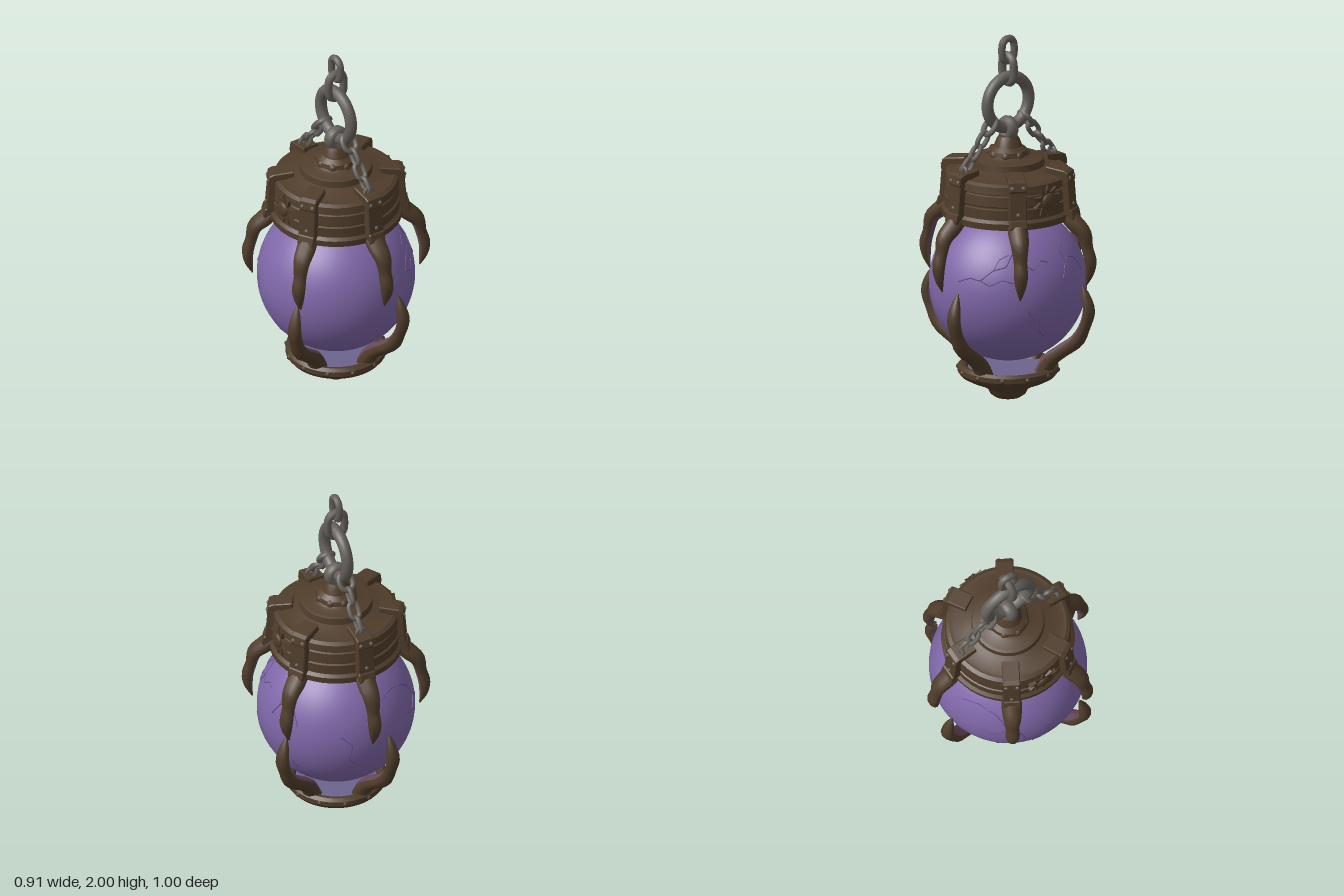
import * as THREE from 'three';
import { toCreasedNormals } from 'three/addons/utils/BufferGeometryUtils.js';

const mat = (name, color, side = THREE.FrontSide) => {
  const m = new THREE.MeshStandardMaterial({ color, side });
  m.name = name;
  return m;
};

export function createModel() {
  const model = new THREE.Group();
  model.name = 'hangingOrbLantern';
  const bronze = mat('agedBronze', 0x503d2b);
  const mauve = mat('mauveInnerClaw', 0x67495a);
  const orbPurple = mat('orbPurple', 0x7f67a8);
  const crackPurple = mat('crackPurple', 0x675190);
  const iron = mat('chainIron', 0x65605b);
  const lining = mat('bowlLining', 0x6c648c);

  const add = (name, geometry, material, parent = model) => {
    const mesh = new THREE.Mesh(geometry, material);
    mesh.name = name;
    parent.add(mesh);
    return mesh;
  };
  // group turned so that its local +z points outward at the given azimuth
  const spoke = (name, azimuth) => {
    const g = new THREE.Group();
    g.name = name;
    g.rotation.y = azimuth;
    model.add(g);
    return g;
  };
  const turned = (points, segments = 48) => toCreasedNormals(
    new THREE.LatheGeometry(points.map(([r, y]) => new THREE.Vector2(r, y)), segments), 0.5);

  // Orb with raised crack lines
  const orbY = 0.635, orbR = 0.42;
  add('orb', new THREE.SphereGeometry(orbR, 64, 40), orbPurple).position.y = orbY;
  const cracks = [ // [azimuth, elevation] in degrees, 0 = front, 90 = left
    [[12, 13], [22, 17], [30, 16], [40, 24], [50, 27], [55, 36], [62, 38]],
    [[30, 16], [38, 13], [47, 17], [56, 15]],
    [[40, 24], [44, 32], [52, 36]],
    [[56, 22], [66, 27], [72, 24], [80, 30], [86, 28]],
    [[62, 38], [66, 27], [60, 18], [64, 12]],
    [[66, -6], [70, -12], [75, -14], [77, -24], [83, -30]],
    [[98, 14], [104, 24], [110, 28], [118, 25], [124, 14]],
    [[104, 24], [103, 34], [112, 40]],
    [[96, -34], [106, -31], [113, -35], [122, -28], [118, -20]],
    [[195, 30], [210, 34], [228, 28], [236, 14], [228, 6], [216, 9]],
    [[236, 14], [246, 8], [250, -4]],
    [[255, -18], [264, -24], [268, -34], [280, -38]],
    [[158, 10], [166, 2], [164, -10], [172, -18]],
  ];
  cracks.forEach((line) => {
    const pts = line.map(([a, e]) => new THREE.Vector3().setFromSphericalCoords(
      orbR, THREE.MathUtils.degToRad(90 - e), THREE.MathUtils.degToRad(a)));
    const curve = new THREE.CatmullRomCurve3(pts, false, 'catmullrom', 0.2);
    add('orbCrack', new THREE.TubeGeometry(curve, 30, 0.0035, 5), crackPurple).position.y = orbY;
  });

  // Cap: banded drum, sloping roof, stepped crown and knob
  add('cap', turned([
    [0, 1.03], [0.31, 1.03], [0.325, 1.015], [0.352, 1.02], [0.355, 1.055], [0.338, 1.07],
    [0.338, 1.125], [0.328, 1.13], [0.328, 1.137], [0.335, 1.142], [0.33, 1.195], [0.321, 1.2],
    [0.321, 1.207], [0.336, 1.212], [0.33, 1.25], [0.31, 1.262], [0.29, 1.262], [0.22, 1.282],
    [0.195, 1.29], [0.19, 1.325], [0.17, 1.332], [0.125, 1.335], [0.108, 1.345], [0.102, 1.37],
    [0.075, 1.39], [0.062, 1.425], [0.05, 1.445], [0, 1.45]]), bronze);
  for (let i = 0; i < 8; i++) {
    const g = spoke('crownScallop', i * Math.PI / 4);
    const bead = add('scallop', new THREE.SphereGeometry(0.026, 10, 8), bronze, g);
    bead.position.set(0, 1.35, 0.09);
  }

  // Six straps over the cap with bolts
  const strapShape = new THREE.Shape([[-0.3, 1.015], [-0.378, 1.015], [-0.388, 1.04], [-0.378, 1.075],
    [-0.37, 1.08], [-0.358, 1.23], [-0.362, 1.24], [-0.354, 1.28], [-0.335, 1.29], [-0.235, 1.303],
    [-0.23, 1.26], [-0.3, 1.2]].map(([x, y]) => new THREE.Vector2(x, y)));
  const strapGeo = new THREE.ExtrudeGeometry(strapShape, {
    depth: 0.084, bevelEnabled: true, bevelSize: 0.005, bevelThickness: 0.005, bevelSegments: 1 });
  strapGeo.translate(0, 0, -0.042).rotateY(Math.PI / 2);
  const boltGeo = new THREE.SphereGeometry(0.012, 8, 6);

  // Claw lofted from [half width, y, radius] stations listed downward; inner faces are mauve
  const claw = (stations) => {
    const curve = new THREE.CatmullRomCurve3(stations.map((s) => new THREE.Vector3(...s)));
    const rows = 20, sides = 10, pos = [], outer = [], inner = [];
    for (let i = 0; i <= rows; i++) {
      const p = curve.getPoint(i / rows), t = curve.getTangent(i / rows);
      const len = Math.hypot(t.y, t.z), ny = t.z / len, nz = -t.y / len;
      for (let j = 0; j < sides; j++) {
        const a = (j / sides) * Math.PI * 2, w = Math.max(p.x, 0.003);
        const u = Math.cos(a) * w, v = Math.sin(a) * w * 0.85;
        pos.push(u, p.y + ny * v, p.z + nz * v);
        if (i === rows) continue;
        const k = (j + 1) % sides, A = i * sides + j, B = i * sides + k;
        const list = Math.sin(((j + 0.5) / sides) * Math.PI * 2) < -0.5 ? inner : outer;
        list.push(A, B, A + sides, B, B + sides, A + sides);
      }
    }
    const g = new THREE.BufferGeometry();
    g.setAttribute('position', new THREE.Float32BufferAttribute(pos, 3));
    g.setIndex([...outer, ...inner]);
    g.addGroup(0, outer.length, 0);
    g.addGroup(outer.length, inner.length, 1);
    g.computeVertexNormals();
    return g;
  };
  const upperClaw = claw([[0.052, 1.05, 0.33], [0.054, 1.0, 0.38], [0.047, 0.95, 0.432],
    [0.036, 0.87, 0.452], [0.038, 0.8, 0.47], [0.027, 0.73, 0.465], [0.004, 0.66, 0.445]]);
  const lowerClaw = claw([[0.004, 0.67, 0.435], [0.026, 0.61, 0.455], [0.038, 0.53, 0.472],
    [0.036, 0.44, 0.447], [0.046, 0.355, 0.40], [0.046, 0.29, 0.315], [0.05, 0.23, 0.245],
    [0.056, 0.14, 0.2]]);

  for (let i = 0; i < 6; i++) {
    const g = spoke('strapAndUpperClaw', i * Math.PI / 3);
    add('strap', strapGeo, bronze, g);
    add('upperClaw', upperClaw, [bronze, mauve], g);
    for (const [x, y, z] of [[0, 1.11, 0.369], [-0.03, 1.255, 0.36], [0.03, 1.255, 0.36]])
      add('bolt', boltGeo, iron, g).position.set(x, y, z);
  }
  [14, 117, 194, 297].forEach((deg) =>
    add('lowerClaw', lowerClaw, [bronze, mauve], spoke('lowerClawMount', THREE.MathUtils.degToRad(deg))));

  // Sun ornaments on both sides of the cap
  const star = new THREE.Shape(Array.from({ length: 20 }, (_, i) => {
    const r = i % 2 ? 0.05 : 0.088, a = (i / 20) * Math.PI * 2 + Math.PI / 2;
    return new THREE.Vector2(Math.cos(a) * r, Math.sin(a) * r);
  }));
  const starGeo = new THREE.ExtrudeGeometry(star, { depth: 0.035, bevelEnabled: false });
  for (const s of [-1, 1]) {
    const g = spoke('sunOrnament', s * Math.PI / 2);
    add('sunRays', starGeo, bronze, g).position.set(0, 1.16, 0.31);
    const boss = add('sunBoss', new THREE.SphereGeometry(0.042, 16, 10), bronze, g);
    boss.position.set(0, 1.16, 0.345);
    boss.scale.z = 0.4;
  }

  // Bowl at the foot, with lining and rim studs
  add('bowl', turned([[0, 0], [0.07, 0.002], [0.095, 0.02], [0.11, 0.05], [0.15, 0.075], [0.21, 0.1],
    [0.25, 0.122], [0.268, 0.145], [0.268, 0.172], [0.25, 0.187], [0.225, 0.18], [0.205, 0.155],
    [0, 0.14]]), bronze);
  add('bowlLining', new THREE.CylinderGeometry(0.212, 0.2, 0.008, 40), lining).position.y = 0.163;
  for (let i = 0; i < 12; i++) {
    const stud = add('rimStud', new THREE.SphereGeometry(0.016, 8, 6), bronze, spoke('studMount', (i + 0.5) * Math.PI / 6));
    stud.position.set(0, 0.157, 0.262);
  }

  // Chain links: stadium loops in the local xy plane, long side along y
  const linkGeo = (length, width, tube) => {
    const r = width / 2 - tube, h = length / 2 - tube - r, pts = [];
    for (let i = 0; i < 14; i++) {
      const a = ((i % 7) / 6) * Math.PI + (i < 7 ? 0 : Math.PI);
      pts.push(new THREE.Vector3(Math.cos(a) * r, Math.sin(a) * r + (i < 7 ? h : -h), 0));
    }
    return new THREE.TubeGeometry(new THREE.CatmullRomCurve3(pts, true), 40, tube, 8, true);
  };
  const ring = add('mainRing', new THREE.TorusGeometry(0.139, 0.032, 12, 40), iron);
  ring.position.y = 1.63;
  ring.rotation.y = Math.PI / 2;
  const eye = add('capEye', new THREE.TorusGeometry(0.042, 0.026, 10, 24), iron);
  eye.position.y = 1.485;
  eye.scale.z = 1.3;
  add('upperLink', linkGeo(0.195, 0.14, 0.022), iron).position.y = 1.812;
  const topLink = add('topLink', linkGeo(0.165, 0.12, 0.02), iron);
  topLink.position.y = 1.9175;
  topLink.rotation.y = Math.PI / 2;

  // Two side chains from the main ring down to the cap
  const bigLink = linkGeo(0.125, 0.105, 0.015), smallLink = linkGeo(0.112, 0.076, 0.013);
  for (const s of [-1, 1]) {
    for (let i = 0; i < 4; i++) {
      const t = i / 3;
      const link = add('sideChainLink', i ? smallLink : bigLink, iron);
      link.position.set(0, 1.515 - 0.19 * t, s * (0.122 + 0.148 * t));
      link.rotation.set(-s * 0.66, (i % 2) * Math.PI / 2, 0);
    }
    const staple = add('chainStaple', new THREE.TorusGeometry(0.026, 0.01, 8, 16), iron);
    staple.position.set(0, 1.298, s * 0.3);
  }
  return model;
}
